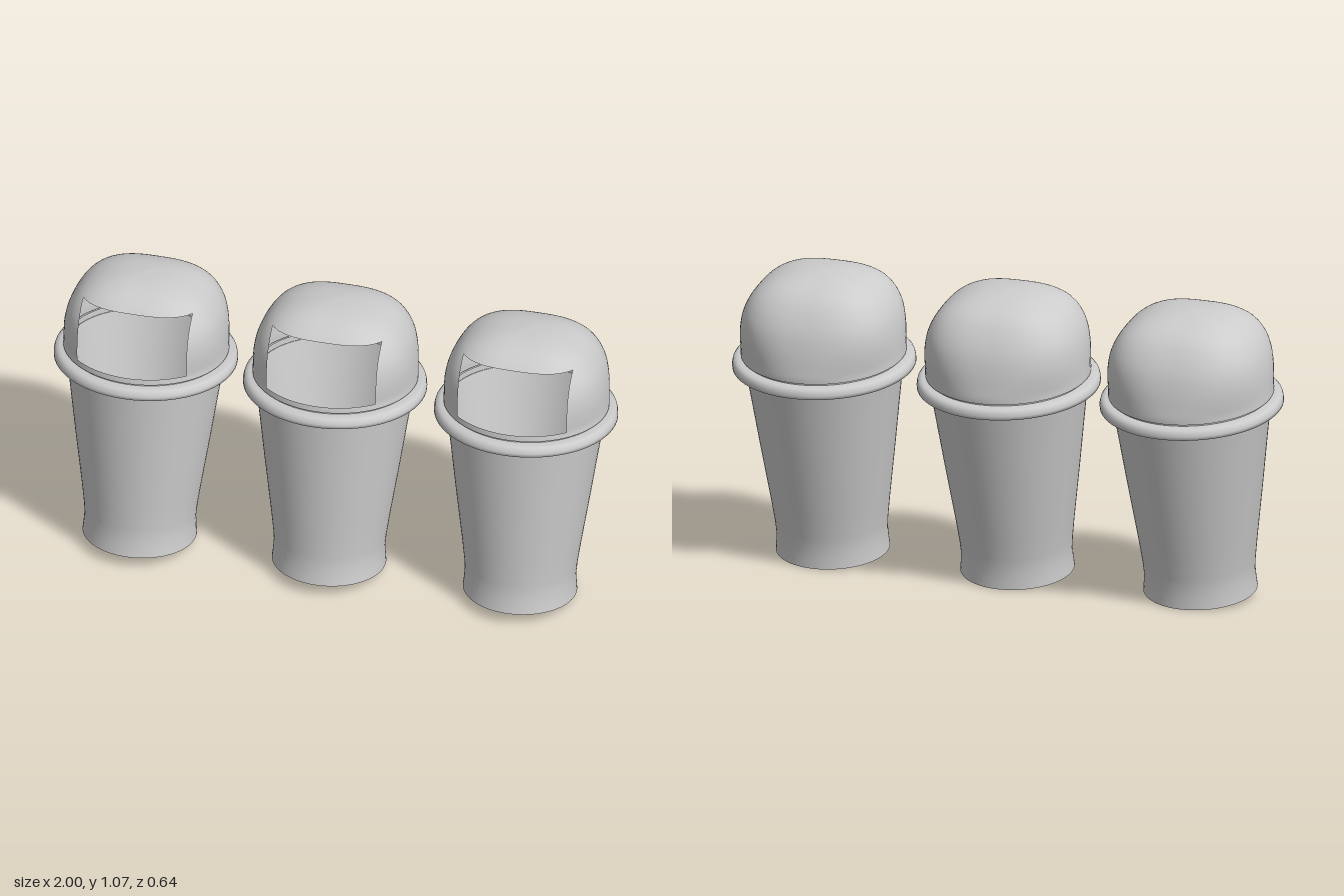
import * as THREE from 'three';

const material = new THREE.MeshStandardMaterial({ color: 0xcccccc, side: THREE.DoubleSide });
const SEGMENTS = 64;

function part(name, geometry) {
  const mesh = new THREE.Mesh(geometry, material);
  mesh.name = name;
  return mesh;
}

function lathe(points) {
  return new THREE.LatheGeometry(points.map(([r, y]) => new THREE.Vector2(r, y)), SEGMENTS);
}

// Domed lid: round at the bottom, squarer near the top, with a rectangular mouth
function lidGeometry() {
  const mouthHalf = 0.195, mouthBottom = 0.766, mouthTop = 0.981;
  const profile = [
    [0.289, 0.745], [0.288, mouthBottom], [0.281, 0.85], [0.262, 0.92],
    [0.222, mouthTop], [0.165, 1.02], [0.09, 1.042], [0, 1.05],
  ];
  const curve = new THREE.SplineCurve(profile.map(([r, y]) => new THREE.Vector2(r, y)));
  const rows = (profile.length - 1) * 5;
  const front = 20, cols = 72;
  const spow = (v, e) => Math.sign(v) * Math.pow(Math.abs(v), e);
  const positions = [], index = [];

  for (let i = 0; i <= rows; i++) {
    const { x: r, y } = curve.getPoint(i / rows);
    const k = THREE.MathUtils.clamp((y - mouthBottom) / (mouthTop - mouthBottom), 0, 1);
    const p = 2 + 0.9 * k;
    // angle at which this ring meets the side of the mouth
    const edge = Math.asin(Math.pow(mouthHalf / Math.max(r, 0.222), p / 2));
    for (let j = 0; j < cols; j++) {
      const t = j <= front
        ? THREE.MathUtils.lerp(-edge, edge, j / front)
        : THREE.MathUtils.lerp(edge, 2 * Math.PI - edge, (j - front) / (cols - front));
      positions.push(
        r * spow(Math.sin(t), 2 / p), y,
        0.012 * k + r * (1 - 0.08 * k) * spow(Math.cos(t), 2 / p));
    }
  }

  for (let i = 0; i < rows; i++) {
    const yMid = curve.getPoint((i + 0.5) / rows).y;
    const open = yMid > mouthBottom && yMid < mouthTop;
    for (let j = 0; j < cols; j++) {
      if (open && j < front) continue;
      const j2 = (j + 1) % cols;
      const a = i * cols + j, b = i * cols + j2;
      if (i === rows - 1) {
        index.push(a, b, rows * cols);
      } else {
        index.push(a, b, b + cols, a, b + cols, a + cols);
      }
    }
  }

  const geometry = new THREE.BufferGeometry();
  geometry.setAttribute('position', new THREE.Float32BufferAttribute(positions, 3));
  geometry.setIndex(index);
  geometry.computeVertexNormals();
  return geometry;
}

function createBin() {
  const bin = new THREE.Group();

  // Tapered hollow body with a short straight foot
  bin.add(part('body', lathe([
    [0.199, 0], [0.196, 0.03], [0.194, 0.07], [0.197, 0.11], [0.207, 0.19],
    [0.236, 0.4], [0.257, 0.56], [0.276, 0.7], [0.28, 0.725],
  ])));

  const base = part('base', new THREE.CircleGeometry(0.199, SEGMENTS));
  base.rotation.x = Math.PI / 2;
  bin.add(base);

  // Overhanging rolled rim, open underneath
  bin.add(part('rim', lathe([
    [0.311, 0.7], [0.32, 0.7], [0.32, 0.712], [0.317, 0.724], [0.31, 0.732],
    [0.3, 0.736], [0.28, 0.737],
  ])));
  bin.add(part('rimUnderside', lathe([[0.311, 0.7], [0.309, 0.715], [0.3, 0.724], [0.278, 0.726]])));

  // Collar that the lid sits on
  bin.add(part('collar', lathe([[0.28, 0.725], [0.28, 0.748]])));

  bin.add(part('lid', lidGeometry()));
  return bin;
}

export function createModel() {
  const model = new THREE.Group();
  model.name = 'trashBins';

  // Three matching bins, all leaning backwards
  [['rightBin', -0.68], ['middleBin', -0.003], ['leftBin', 0.68]].forEach(([name, x]) => {
    const bin = createBin();
    bin.name = name;
    bin.position.set(x, 0.028, 0.086);
    bin.rotation.x = -0.125;
    model.add(bin);
  });
  return model;
}
